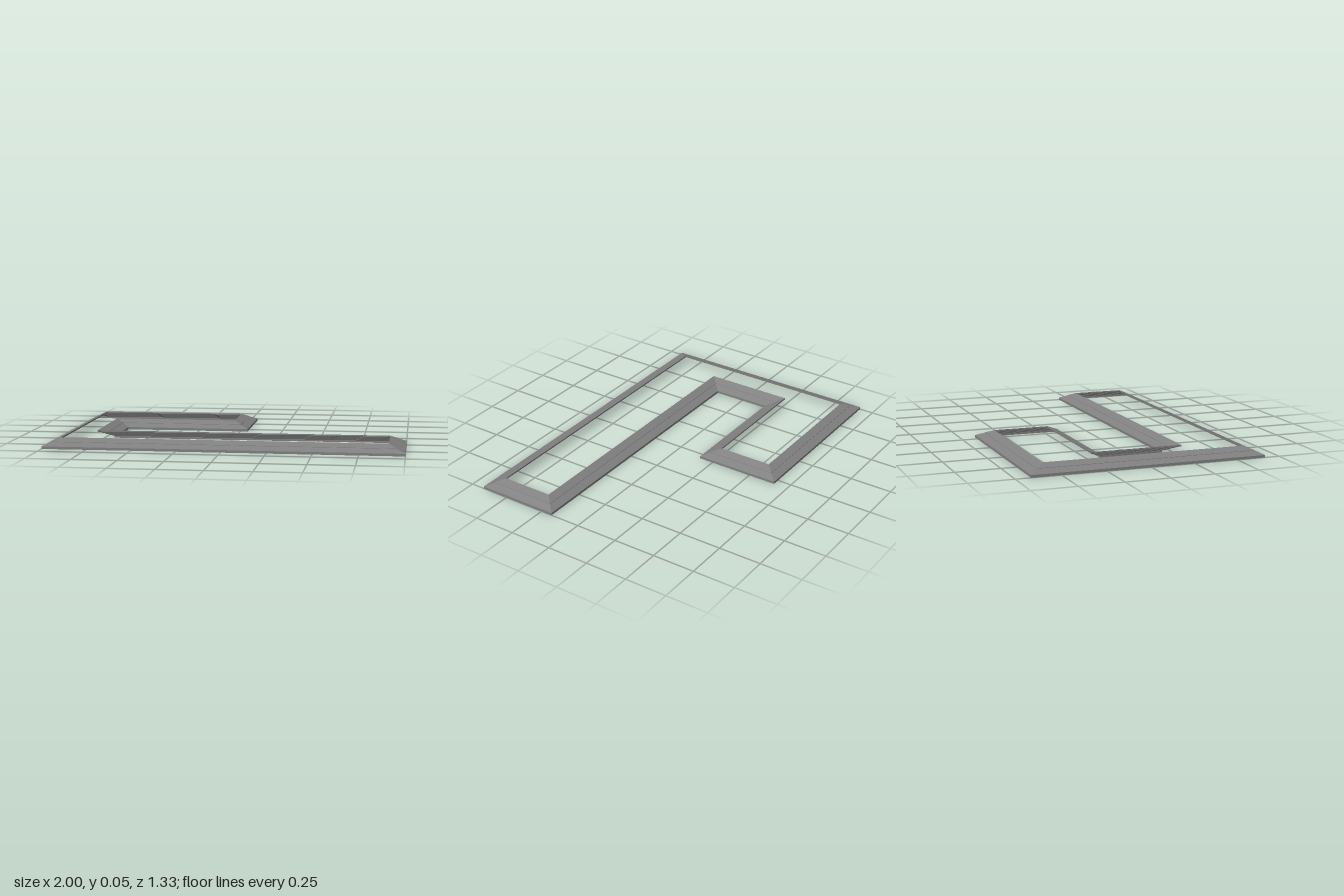
import * as THREE from 'three';

// Outer eave line (x, z), running clockwise seen from above
const OUTLINE = [
  [-1, -0.665], [0.045, -0.665], [0.045, -0.165], [-0.685, -0.165],
  [-0.685, 0.18], [1, 0.18], [1, 0.665], [-1, 0.665],
].map(([x, z]) => new THREE.Vector2(x, z));

const WIDTH = 0.09;   // horizontal width of the sloping band
const EAVE = 0.014;   // top of the fascia
const RIDGE = 0.054;  // top of the inner edge
const topY = (d) => THREE.MathUtils.mapLinear(d, 0, WIDTH, EAVE, RIDGE);

// Closed cross-section: d runs inwards from the eave, y up
function makeProfile() {
  const middle = WIDTH / 2;
  const points = [
    [0, 0], [0, EAVE],                                        // fascia
    [middle, topY(middle) - 0.001], [middle, topY(middle) + 0.001], // lap between the two boards
    [WIDTH, RIDGE],
  ];
  // Stepped underside, from the inner edge back to the fascia
  const steps = 4, lip = 0.01;
  const stepWidth = (WIDTH - lip) / steps;
  for (let i = 0; i < steps; i++) {
    const d = WIDTH - i * stepWidth;
    points.push([d, topY(d) - 0.009], [d - stepWidth, topY(d - stepWidth) - 0.006]);
  }
  points.push([lip, 0]);
  return points;
}

// Corner offset directions, so that corner + d * mitre lies d inwards of both edges
function makeMitres() {
  const count = OUTLINE.length;
  const normals = OUTLINE.map((p, i) => {
    const t = OUTLINE[(i + 1) % count].clone().sub(p).normalize();
    return new THREE.Vector2(-t.y, t.x);
  });
  return normals.map((n, i) => n.clone().add(normals[(i + count - 1) % count]));
}

// Sweep the cross-section around the outline with sharp mitred corners
function sweepProfile(profile) {
  const mitres = makeMitres();
  const rings = OUTLINE.map((p, i) => profile.map(
    ([d, y]) => [p.x + mitres[i].x * d, y, p.y + mitres[i].y * d],
  ));
  const positions = [];
  rings.forEach((a, i) => {
    const b = rings[(i + 1) % rings.length];
    for (let j = 0; j < profile.length; j++) {
      const k = (j + 1) % profile.length;
      positions.push(...a[j], ...a[k], ...b[k], ...a[j], ...b[k], ...b[j]);
    }
  });
  const geometry = new THREE.BufferGeometry();
  geometry.setAttribute('position', new THREE.Float32BufferAttribute(positions, 3));
  geometry.computeVertexNormals();
  return geometry;
}

export function createModel() {
  const group = new THREE.Group();
  group.name = 'roofEave';

  // Sloping eave band running all around the plan
  const band = new THREE.Mesh(
    sweepProfile(makeProfile()),
    new THREE.MeshStandardMaterial({ color: 0x808080, flatShading: true }),
  );
  band.name = 'eaveBand';
  group.add(band);

  return group;
}
